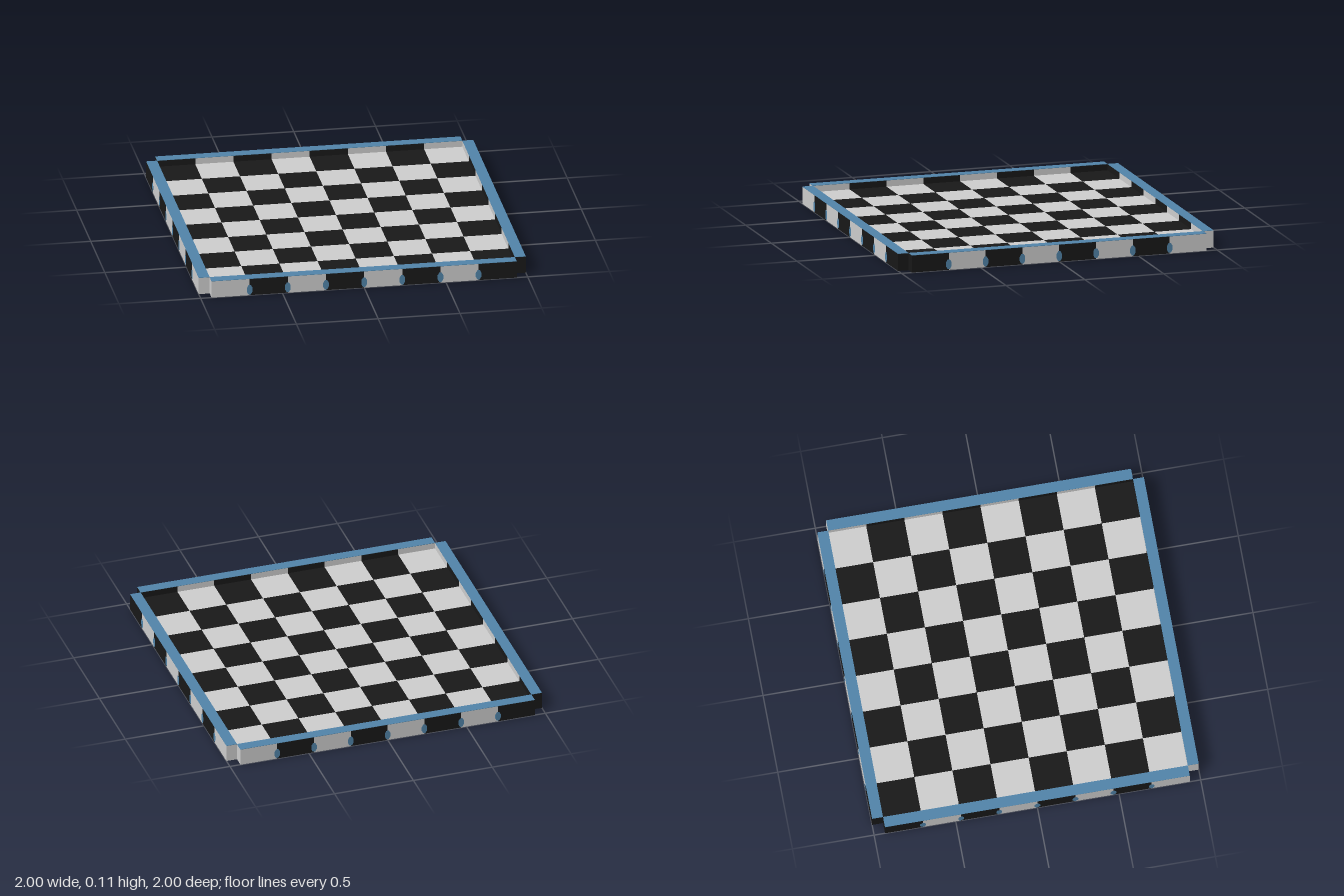
import * as THREE from 'three';

const N = 8;
const TILE = 0.2333;
const HALF = (N * TILE) / 2;
const RIM = 1 - HALF;
const FLOOR = 0.067;
const HEIGHT = 0.107;
const CAP = 0.002;

const light = new THREE.MeshStandardMaterial({ color: 0xcccccc });
const dark = new THREE.MeshStandardMaterial({ color: 0x181818 });
const blue = new THREE.MeshStandardMaterial({ color: 0x5083a8 });

function addBox(parent, name, material, size, position) {
  const mesh = new THREE.Mesh(new THREE.BoxGeometry(...size), material);
  mesh.position.set(...position);
  mesh.name = name;
  parent.add(mesh);
  return mesh;
}

export function createModel() {
  const board = new THREE.Group();
  board.name = 'checkerboard';

  const centre = (i) => -HALF + (i + 0.5) * TILE;
  const shade = (i, j) => ((i + j) % 2 === 0 ? dark : light);

  // Chequered floor; column i runs along x, row j runs along z
  const tiles = new THREE.Group();
  tiles.name = 'tiles';
  for (let i = 0; i < N; i++) {
    for (let j = 0; j < N; j++) {
      addBox(tiles, 'tile', shade(i, j), [TILE, FLOOR, TILE], [centre(i), FLOOR / 2, centre(j)]);
    }
  }
  board.add(tiles);

  // Raised rim: each block takes the shade of its neighbouring tile
  const rim = new THREE.Group();
  rim.name = 'rim';
  const wall = HEIGHT - CAP;
  const mid = 1 - RIM / 2;
  for (const s of [-1, 1]) {
    const edge = s < 0 ? 0 : N - 1;
    for (let k = 0; k < N; k++) {
      addBox(rim, 'rimBlock', shade(k, edge), [TILE, wall, RIM], [centre(k), wall / 2, s * mid]);
      addBox(rim, 'rimBlock', shade(edge, k), [RIM, wall, TILE], [s * mid, wall / 2, centre(k)]);
    }
    // Thin coloured strip along the top of each side
    addBox(rim, 'rimCap', blue, [2 * HALF, CAP, RIM], [0, HEIGHT - CAP / 2, s * mid]);
    addBox(rim, 'rimCap', blue, [RIM, CAP, 2 * HALF], [s * mid, HEIGHT - CAP / 2, 0]);
  }
  board.add(rim);

  // Eight-sided rods along the seams, their ends showing in the outer walls
  const rods = new THREE.Group();
  rods.name = 'rods';
  const rodGeometry = new THREE.CylinderGeometry(1, 1, 2.001, 8).toNonIndexed();
  rodGeometry.rotateY(Math.PI / 8);
  rodGeometry.rotateX(Math.PI / 2);
  rodGeometry.scale(0.019, 0.0325, 1);
  rodGeometry.computeVertexNormals();
  for (let k = 1; k < N; k++) {
    const seam = -HALF + k * TILE;
    for (const alongX of [false, true]) {
      const rod = new THREE.Mesh(rodGeometry, blue);
      rod.name = alongX ? 'crossRod' : 'lengthRod';
      rod.rotation.y = alongX ? Math.PI / 2 : 0;
      rod.position.set(alongX ? 0 : seam, 0.035, alongX ? seam : 0);
      rods.add(rod);
    }
  }
  board.add(rods);

  return board;
}
